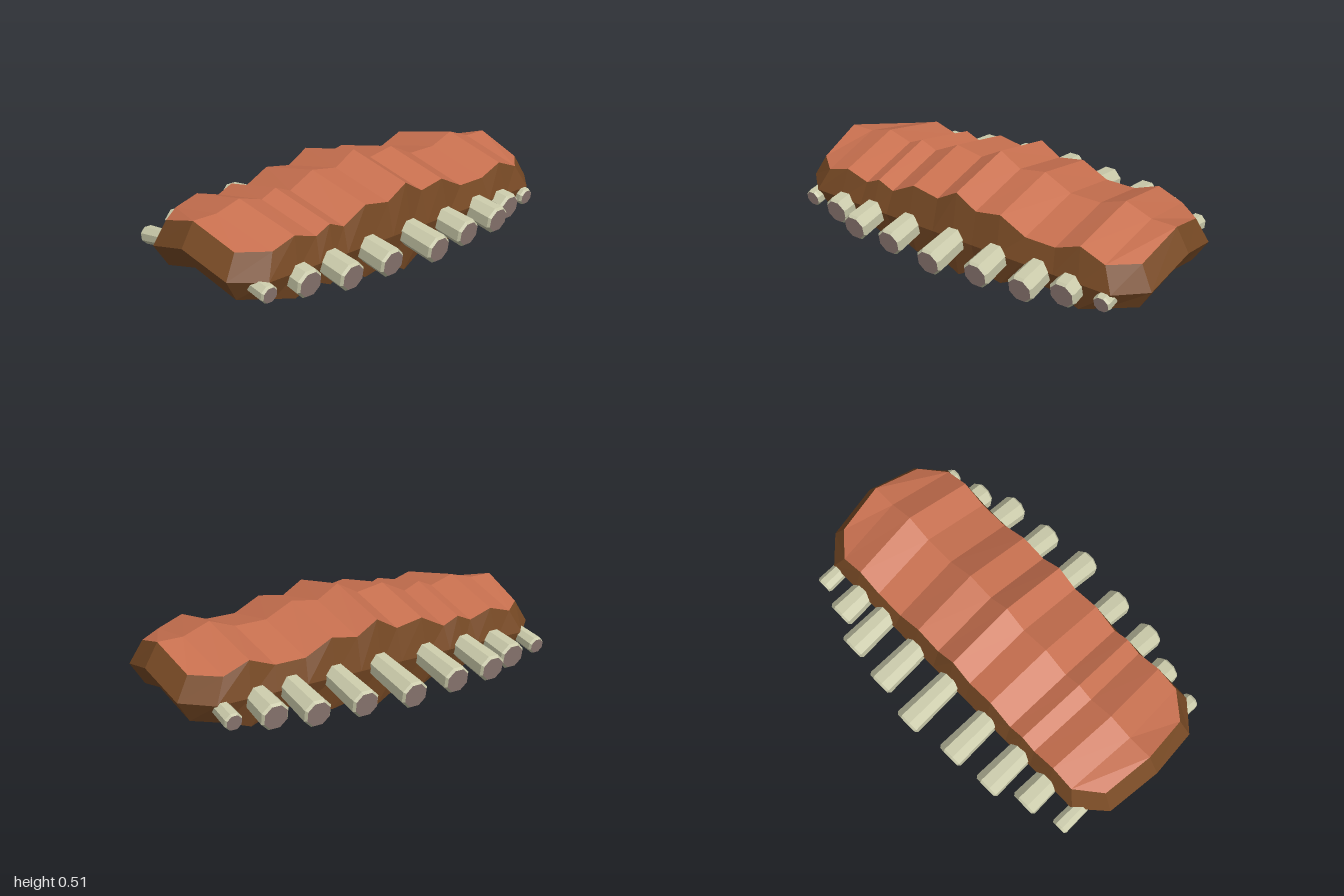
import * as THREE from 'three';

const flat = (name, color) => {
  const m = new THREE.MeshStandardMaterial({ color, flatShading: true });
  m.name = name;
  return m;
};

const MID_Z = 0.045; // the ridge line runs along x at this depth
const FOLD = 0.076;  // how far the meat droops from ridge to edge

// x position and ridge height of each cross-section, left end to right end
const SECTIONS = [
  [-0.935, 0.403], [-0.81, 0.403], [-0.685, 0.44], [-0.56, 0.403], [-0.48, 0.438], [-0.395, 0.403],
  [-0.26, 0.47], [-0.115, 0.446], [0, 0.51], [0.11, 0.446], [0.25, 0.47], [0.39, 0.403],
  [0.55, 0.403], [0.68, 0.452], [0.81, 0.403], [0.935, 0.403],
];

// One layer of the slab: front edge, ridge and back edge points per section
function layer(kind) {
  const last = SECTIONS.length - 1;
  const rows = SECTIONS.map(([x, top], i) => {
    const end = i === 0 || i === last;
    const rim = kind === 'rim';
    const half = (end ? 0.245 : 0.345) + (rim ? (end ? 0.02 : 0.04) : 0);
    const ridgeX = rim && end ? Math.sign(x) : x;
    const edgeX = rim ? (Math.abs(x) > 0.8 ? (end ? 0.97 : 0.84) * Math.sign(x) : x) : x * 0.97;
    const ridgeY = { top, rim: 0.292, bottom: 0.513 + FOLD - top }[kind];
    return {
      front: [edgeX, ridgeY - FOLD, MID_Z + half],
      ridge: [ridgeX, ridgeY, MID_Z],
      back: [edgeX, ridgeY - FOLD, MID_Z - half],
    };
  });
  // outline, counter-clockwise seen from above
  const loop = [
    ...rows.map((r) => r.front), rows[last].ridge,
    ...rows.map((r) => r.back).reverse(), rows[0].ridge,
  ];
  return { rows, loop };
}

function quadMesh(name, quads, material) {
  const pos = quads.flatMap(([a, b, c, d]) => [a, b, c, a, c, d]).flat();
  const g = new THREE.BufferGeometry();
  g.setAttribute('position', new THREE.Float32BufferAttribute(pos, 3));
  g.computeVertexNormals();
  const mesh = new THREE.Mesh(g, material);
  mesh.name = name;
  return mesh;
}

function sheet(rows, up) {
  const quads = [];
  for (let i = 0; i < rows.length - 1; i++) {
    const a = rows[i], b = rows[i + 1];
    quads.push([a.front, b.front, b.ridge, a.ridge], [a.ridge, b.ridge, b.back, a.back]);
  }
  return up ? quads : quads.map((q) => q.reverse());
}

function wall(lo, hi) {
  return lo.map((p, k) => {
    const n = (k + 1) % lo.length;
    return [p, lo[n], hi[n], hi[k]];
  });
}

export function createModel() {
  const meat = flat('glazed meat', 0xc8704f);
  const crust = flat('brown crust', 0x784a25);
  const bone = flat('bone', 0xcacaaa);
  const marrow = flat('marrow', 0x8f7a74);

  const model = new THREE.Group();
  model.name = 'rackOfRibs';

  // Meat slab
  const top = layer('top'), rim = layer('rim'), bottom = layer('bottom');
  model.add(
    quadMesh('meatTop', sheet(top.rows, true), meat),
    quadMesh('meatBottom', sheet(bottom.rows, false), meat),
    quadMesh('upperCrust', wall(rim.loop, top.loop), crust),
    quadMesh('lowerCrust', wall(bottom.loop, rim.loop), crust),
  );

  // Rib bones: x, radius, front tip z, back tip z
  const ribs = [
    [-0.855, 0.044, 0.455, 0.44], [-0.665, 0.07, 0.49, 0.485], [-0.485, 0.07, 0.56, 0.555],
    [-0.26, 0.07, 0.575, 0.58], [0, 0.07, 0.61, 0.615], [0.237, 0.07, 0.575, 0.58],
    [0.465, 0.07, 0.56, 0.555], [0.635, 0.07, 0.49, 0.485], [0.81, 0.044, 0.455, 0.44],
  ];
  for (const [x, r, front, back] of ribs) {
    for (const [side, tip] of [[1, front], [-1, back]]) {
      const length = tip - 0.18;
      const profile = [[r * 0.84, -length], [r, -0.012], [r * 0.85, 0]];
      const shaft = new THREE.LatheGeometry(profile.map(([a, b]) => new THREE.Vector2(a, b)), 8, Math.PI / 8);
      const cap = new THREE.CircleGeometry(r * 0.85, 8, Math.PI / 8).rotateX(-Math.PI / 2);
      const rib = new THREE.Group();
      rib.name = side > 0 ? 'frontRib' : 'backRib';
      const shaftMesh = new THREE.Mesh(shaft, bone);
      shaftMesh.name = 'ribBone';
      const capMesh = new THREE.Mesh(cap, marrow);
      capMesh.name = 'ribMarrow';
      rib.add(shaftMesh, capMesh);
      // lean outward and slightly down
      rib.rotation.x = side * (Math.PI / 2 + 0.16);
      rib.position.set(x, 0.172, side * tip);
      model.add(rib);
    }
  }
  return model;
}
